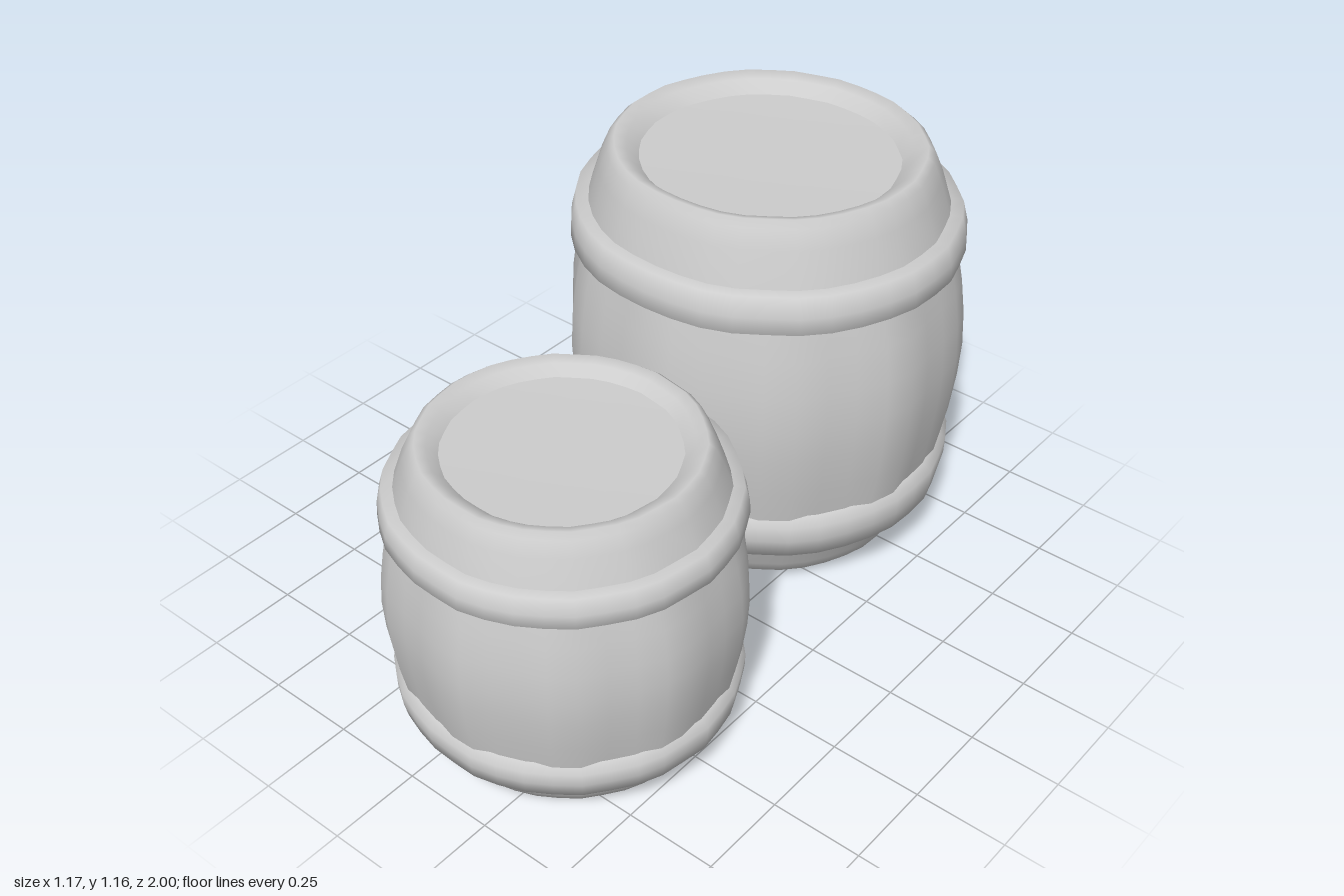
import * as THREE from 'three';
import { mergeVertices } from 'three/addons/utils/BufferGeometryUtils.js';

const COLUMNS = 40;

// Small seeded generator for the hand-hewn unevenness
function seeded(seed) {
  let s = seed;
  return () => (s = (s * 16807) % 2147483647) / 2147483647;
}

export function createModel() {
  const grey = new THREE.MeshStandardMaterial({ color: 0xcccccc });
  grey.name = 'plain grey';

  // Unit profiles [radius, height], drawn upwards on the outside
  const parts = {
    bottomHead: [[0, 0], [0.71, 0]],
    bottomStaves: [[0.71, 0], [0.765, 0.012], [0.8, 0.045], [0.885, 0.132]],
    lowerHoop: [[0.86, 0.132], [0.945, 0.132], [0.965, 0.18], [0.968, 0.222], [0.92, 0.24]],
    body: [[0.93, 0.225], [0.965, 0.32], [0.99, 0.42], [1, 0.51], [0.99, 0.6], [0.965, 0.69], [0.93, 0.775]],
    upperHoop: [[0.92, 0.755], [0.97, 0.77], [0.965, 0.81], [0.94, 0.858], [0.84, 0.858]],
    topStaves: [[0.88, 0.855], [0.825, 0.94], [0.785, 0.985], [0.75, 1], [0.69, 0.99], [0.63, 0.962]],
    topHead: [[0.63, 0.962], [0, 0.955]],
  };

  function barrel(name, { x, y, z, rx, rz, height, seed }) {
    const group = new THREE.Group();
    group.name = name;
    const rand = seeded(seed);
    const jitter = Array.from({ length: COLUMNS }, () => rand() - 0.5);

    for (const [partName, profile] of Object.entries(parts)) {
      let geo = new THREE.LatheGeometry(profile.map((p) => new THREE.Vector2(...p)), COLUMNS);
      const pos = geo.attributes.position;
      for (let i = 0; i < pos.count; i++) {
        const col = Math.floor(i / profile.length) % COLUMNS;
        let k = 1 + jitter[col] * 0.014;
        // Every second body stave stands proud of its neighbours
        if (partName === 'body') k = (col % 4 < 2 ? 1.002 : 0.976) + jitter[col] * 0.01;
        pos.setXYZ(i, pos.getX(i) * rx * k, pos.getY(i) * height, pos.getZ(i) * rz * k);
      }
      // Weld the lathe seam so the shading runs all the way round
      geo.deleteAttribute('uv');
      geo.deleteAttribute('normal');
      geo = mergeVertices(geo, 1e-5);
      geo.computeVertexNormals();
      const mesh = new THREE.Mesh(geo, grey);
      mesh.name = partName;
      group.add(mesh);
    }
    group.position.set(x, y, z);
    return group;
  }

  const model = new THREE.Group();
  model.name = 'barrels';
  model.add(
    barrel('largeBarrel', { x: -0.04, y: 0.02, z: -0.463, rx: 0.553, rz: 0.537, height: 1.138, seed: 17 }),
    barrel('smallBarrel', { x: 0.128, y: 0, z: 0.548, rx: 0.461, rz: 0.452, height: 0.855, seed: 91 }),
  );
  return model;
}
